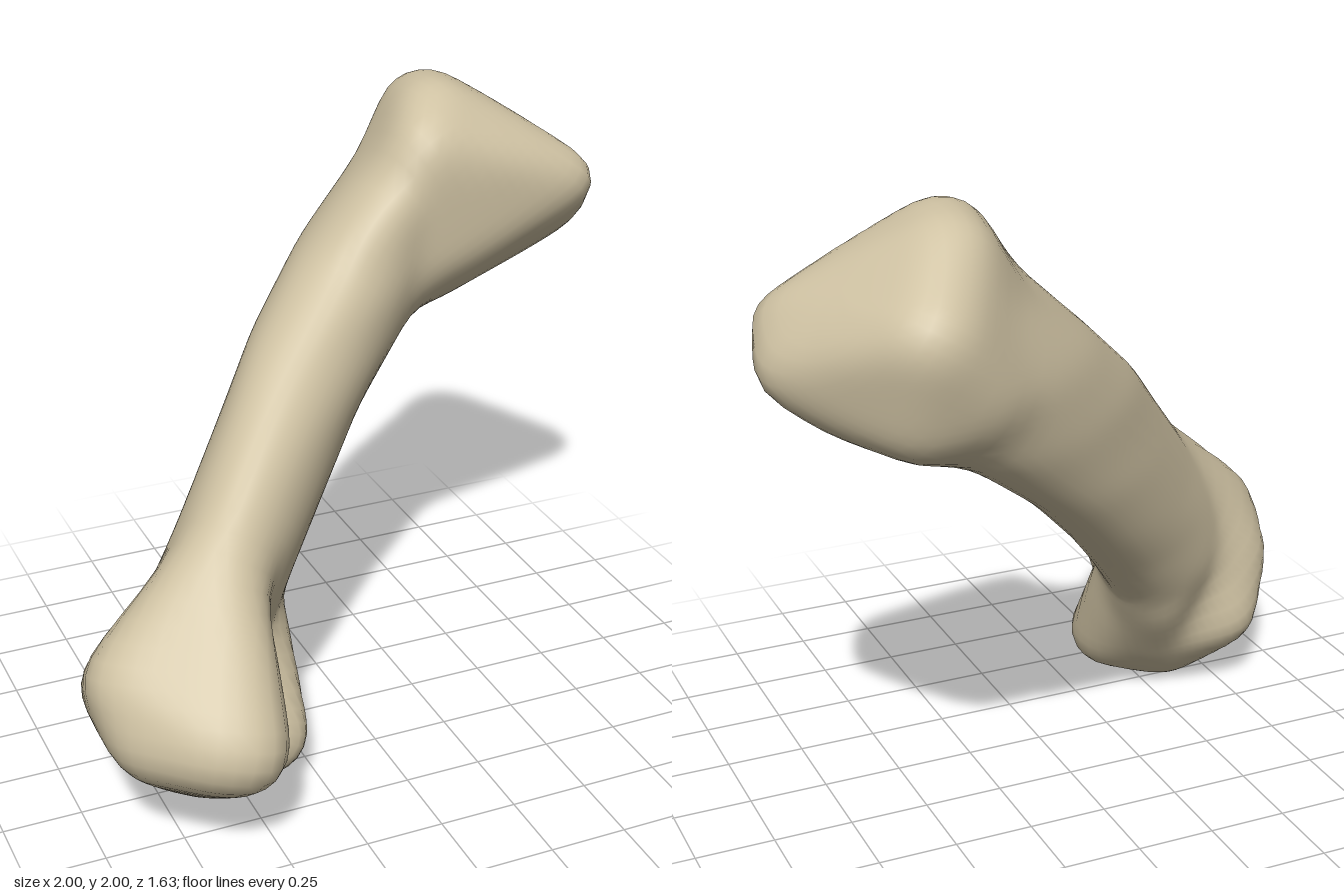
import * as THREE from 'three';
import { mergeVertices } from 'three/addons/utils/BufferGeometryUtils.js';
import { ConvexGeometry } from 'three/addons/geometries/ConvexGeometry.js';

// Hull stretched over a few balls, each [x, y, z, radius].
function hull(balls) {
  const ico = new THREE.IcosahedronGeometry(1, 2);
  ico.deleteAttribute('normal');
  ico.deleteAttribute('uv');
  const unit = mergeVertices(ico).attributes.position;
  const points = [];
  for (const [x, y, z, r] of balls) {
    for (let i = 0; i < unit.count; i++) {
      points.push(new THREE.Vector3().fromBufferAttribute(unit, i)
        .multiplyScalar(r).add(new THREE.Vector3(x, y, z)));
    }
  }
  return new ConvexGeometry(points);
}

// Closed tube from rings of points, each ring an array of Vector3.
function loft(rings) {
  const sides = rings[0].length;
  const index = [];
  for (let r = 0; r < rings.length - 1; r++) {
    for (let i = 0; i < sides; i++) {
      const a = r * sides + i;
      const b = r * sides + (i + 1) % sides;
      index.push(a, b, a + sides, b, b + sides, a + sides);
    }
  }
  const last = (rings.length - 1) * sides;
  for (let i = 1; i < sides - 1; i++) {
    index.push(0, i + 1, i, last, last + i, last + i + 1);
  }
  const geometry = new THREE.BufferGeometry().setFromPoints(rings.flat());
  geometry.setIndex(index);
  geometry.computeVertexNormals();
  return geometry;
}

// Level slanted ellipse spanning the given x and z ranges.
function slantedRing([y, x0, x1, z0, z1, slant]) {
  const lag = Math.acos(slant);
  return Array.from({ length: 28 }, (_, i) => {
    const a = -(i / 28) * Math.PI * 2;
    return new THREE.Vector3(
      (x0 + x1) / 2 + ((x1 - x0) / 2) * Math.cos(a), y,
      (z0 + z1) / 2 + ((z1 - z0) / 2) * Math.cos(a - lag));
  });
}

// One continuous skin drawn in around the masses, along a core curve.
function wrap(masses, core) {
  const sides = 56, middle = 38, ends = 14, reach = 0.9, thickness = 0.013;
  const stations = [];
  for (let i = 0; i < ends; i++) stations.push([0, -(1.55 * (ends - i)) / ends]);
  for (let i = 0; i <= middle; i++) stations.push([i / middle, 0]);
  for (let i = 1; i <= ends; i++) stations.push([1, (1.55 * i) / ends]);

  const caster = new THREE.Raycaster();
  let rings = stations.map(([u, tilt]) => {
    const origin = core.getPointAt(u);
    const along = core.getTangentAt(u);
    const side = new THREE.Vector3(0, 0, 1).cross(along).normalize();
    const across = along.clone().cross(side);
    return Array.from({ length: sides }, (_, i) => {
      const a = (i / sides) * Math.PI * 2;
      const out = side.clone().multiplyScalar(Math.cos(a))
        .addScaledVector(across, Math.sin(a))
        .multiplyScalar(Math.cos(tilt))
        .addScaledVector(along, Math.sin(tilt)).normalize();
      caster.set(origin.clone().addScaledVector(out, reach), out.clone().negate());
      caster.far = reach;
      const hit = caster.intersectObjects(masses)[0];
      const radius = hit ? reach - hit.distance : 0.2;
      return origin.clone().addScaledVector(out, radius + thickness);
    });
  });

  // Soften the joins between the masses.
  for (let pass = 0; pass < 3; pass++) {
    rings = rings.map((ring, r) => ring.map((p, i) => {
      if (r === 0 || r === rings.length - 1) return p;
      const mean = rings[r - 1][i].clone().add(rings[r + 1][i])
        .add(ring[(i + 1) % sides]).add(ring[(i + sides - 1) % sides])
        .multiplyScalar(0.25);
      return p.clone().lerp(mean, 0.5);
    }));
  }
  return loft(rings);
}

export function createModel() {
  const group = new THREE.Group();
  group.name = 'limbBone';
  const bone = new THREE.MeshStandardMaterial({ color: 0xcfc2a3 });
  bone.name = 'bone';

  // Leaning shaft
  const shaft = loft([
    [0.12, -0.66, -0.44, 0.14, 0.35, -0.4],
    [0.30, -0.78, -0.34, 0.02, 0.42, -0.5],
    [0.50, -0.87, -0.27, -0.10, 0.50, -0.65],
    [0.65, -0.84, -0.16, -0.20, 0.54, -0.73],
    [0.82, -0.69, -0.02, -0.33, 0.46, -0.73],
    [1.05, -0.49, 0.20, -0.50, 0.28, -0.73],
    [1.29, -0.28, 0.50, -0.67, 0.07, -0.70],
    [1.50, -0.05, 0.70, -0.77, -0.08, -0.62],
    [1.70, 0.17, 0.74, -0.78, -0.14, -0.60],
    [1.85, 0.34, 0.62, -0.58, -0.30, -0.50],
  ].map(slantedRing));

  // Flared upper end with a ridge running out to its pointed side
  const upperHead = hull([
    [0.47, 1.84, -0.38, 0.15], [0.50, 1.83, -0.50, 0.15],
    [0.39, 1.80, -0.26, 0.125], [0.90, 1.65, -0.24, 0.085],
    [0.90, 1.55, -0.35, 0.11], [0.79, 1.48, -0.44, 0.11],
    [0.61, 1.68, -0.67, 0.15], [0.48, 1.50, -0.63, 0.15],
    [0.62, 1.45, -0.62, 0.13], [0.42, 1.38, -0.42, 0.16],
    [0.30, 1.45, -0.35, 0.20],
  ]);

  // Large knuckle, projecting to the front
  const largeKnuckle = hull([
    [-0.61, 0.40, 0.68, 0.14], [-0.68, 0.41, 0.66, 0.14],
    [-0.86, 0.54, 0.40, 0.14], [-0.82, 0.40, 0.50, 0.15],
    [-0.85, 0.42, 0.25, 0.12], [-0.75, 0.26, 0.15, 0.125],
    [-0.60, 0.14, 0.28, 0.14], [-0.55, 0.22, 0.18, 0.10],
    [-0.53, 0.85, 0.31, 0.11],
  ]);

  // Small knuckle and the ridge rising from it
  const smallKnuckle = hull([
    [-0.41, 0.18, 0.32, 0.13], [-0.56, 0.14, 0.28, 0.13],
    [-0.45, 0.42, 0.08, 0.13], [-0.35, 0.55, 0.10, 0.08],
  ]);

  const core = new THREE.CatmullRomCurve3([
    [-0.60, 0.32, 0.30], [-0.50, 0.65, 0.17], [-0.36, 0.82, 0.065],
    [-0.15, 1.05, -0.115], [0.11, 1.29, -0.31], [0.33, 1.50, -0.42],
    [0.58, 1.66, -0.45],
  ].map((p) => new THREE.Vector3(...p)));

  const masses = [shaft, upperHead, largeKnuckle, smallKnuckle]
    .map((geometry) => new THREE.Mesh(geometry, bone));
  const skin = new THREE.Mesh(wrap(masses, core), bone);
  skin.name = 'boneSurface';
  group.add(skin);
  return group;
}
